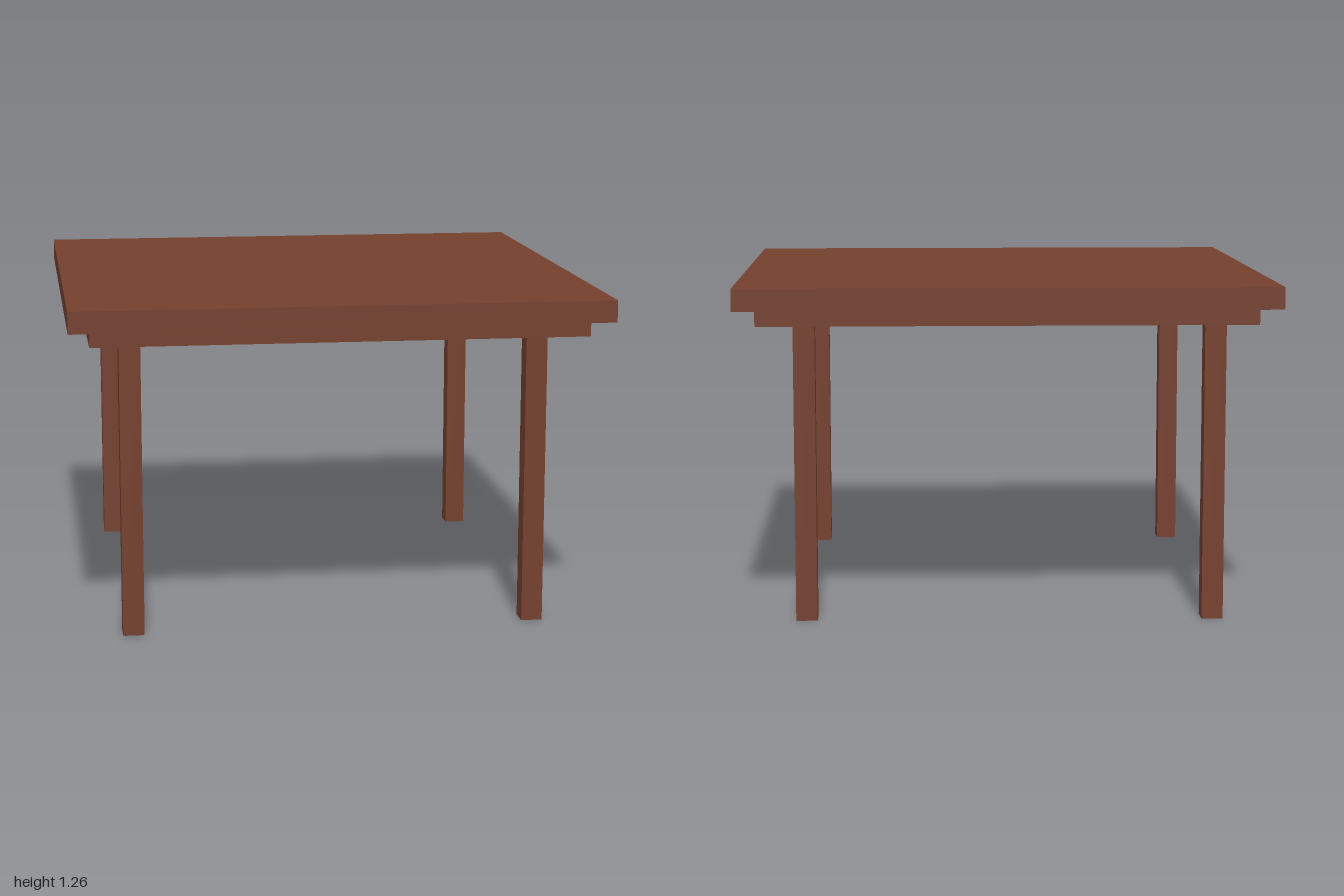
import * as THREE from 'three';

const wood = new THREE.MeshStandardMaterial({ color: 0x74402e, flatShading: true });

// Box given by its base height, top height and centre
function board(name, width, depth, bottom, top, x, z) {
  const mesh = new THREE.Mesh(new THREE.BoxGeometry(width, top - bottom, depth), wood);
  mesh.name = name;
  mesh.position.set(x, (bottom + top) / 2, z);
  return mesh;
}

export function createModel() {
  const table = new THREE.Group();
  table.name = 'table';

  const topUnder = 1.183, topHeight = 1.265;
  const railBottom = 1.12, railOuter = 0.922, thickness = 0.08;

  // Square table top
  table.add(board('tableTop', 2, 2, topUnder, topHeight, 0, 0));

  // Hollow apron frame under the top
  const railCentre = railOuter - thickness / 2;
  const inner = 2 * (railOuter - thickness);
  for (const s of [1, -1]) {
    table.add(board(s > 0 ? 'frontRail' : 'backRail', 2 * railOuter, thickness, railBottom, topUnder, 0, s * railCentre));
    table.add(board(s > 0 ? 'leftRail' : 'rightRail', thickness, inner, railBottom, topUnder, s * railCentre, 0));
  }

  // Square legs reaching the underside of the top, placed slightly unevenly
  const legs = [
    ['frontLeftLeg', 0.75, 0.754],
    ['frontRightLeg', -0.772, 0.754],
    ['backLeftLeg', 0.75, -0.77],
    ['backRightLeg', -0.772, -0.794],
  ];
  for (const [name, x, z] of legs) {
    table.add(board(name, thickness, thickness, 0, topUnder, x, z));
  }

  return table;
}
